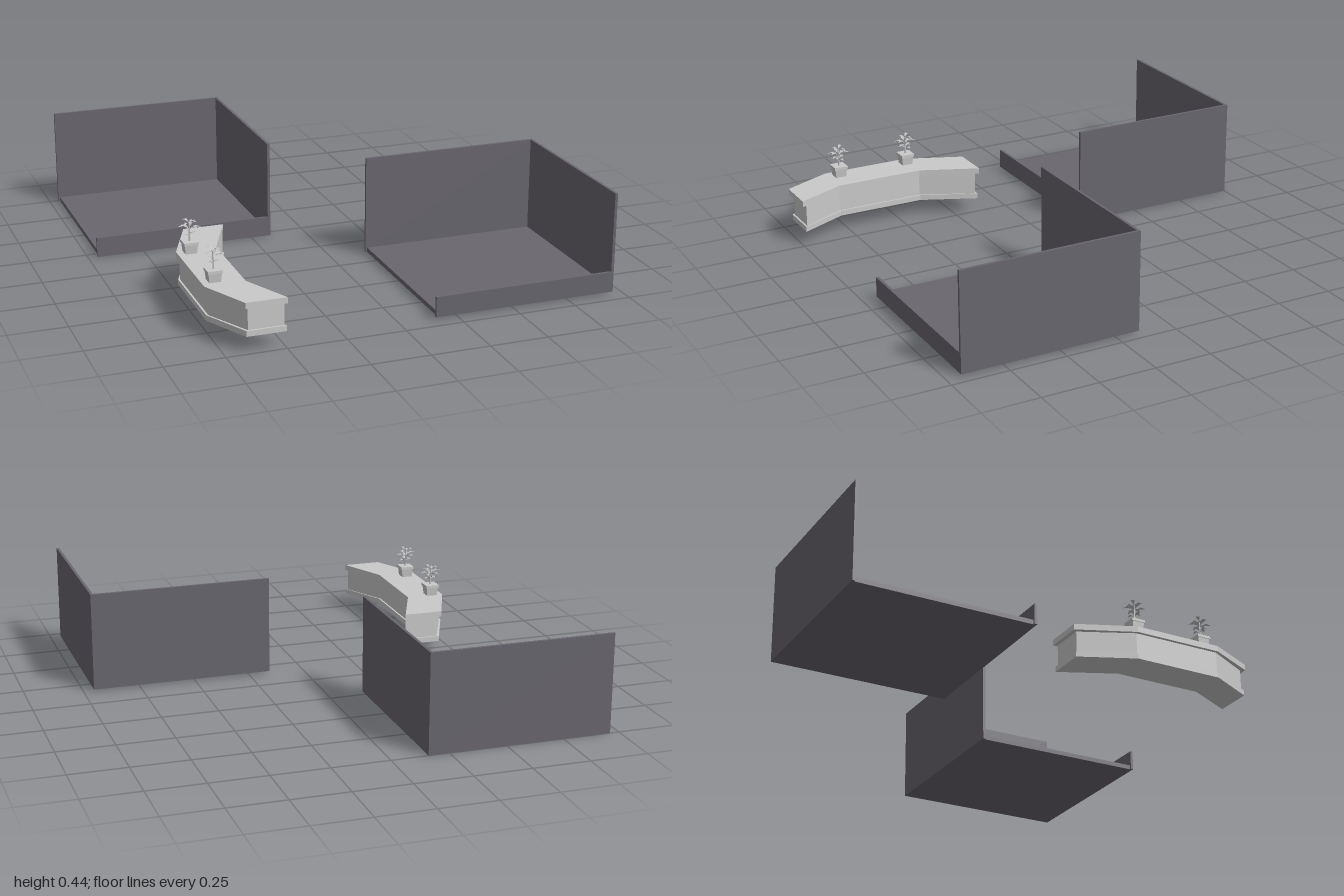
import * as THREE from 'three';

const wallMat = new THREE.MeshStandardMaterial({ name: 'slateGrey', color: 0x69666f });
const deskMat = new THREE.MeshStandardMaterial({ name: 'lightGrey', color: 0xc9c9c9 });
const leafMat = new THREE.MeshStandardMaterial({ name: 'leafGrey', color: 0xc0c0c0, side: THREE.DoubleSide, flatShading: true });

// Box given by its minimum and maximum corners
function slab(name, min, max, mat) {
  const size = max.map((v, i) => v - min[i]);
  const mesh = new THREE.Mesh(new THREE.BoxGeometry(...size), mat);
  mesh.position.set(...max.map((v, i) => (v + min[i]) / 2));
  mesh.name = name;
  return mesh;
}

// Open room: floor, tall back and side walls, low front wall, open at -x
function createRoom(name, x, y, z) {
  const g = new THREE.Group();
  g.name = name;
  const w = 0.8, d = 0.79, h = 0.433, t = 0.012;
  g.add(
    slab('floor', [0.008, 0, t], [w - t, 0.02, d - t], wallMat),
    slab('backWall', [0, 0, 0], [w - t, h, t], wallMat),
    slab('sideWall', [w - t, 0, 0], [w, h, d], wallMat),
    slab('frontLip', [0, 0, d - t], [w - t, 0.088, d], wallMat),
  );
  g.position.set(x, y, z);
  return g;
}

// Bent counter layer, drawn in plan and extruded upwards
function counterLayer(name, y0, y1, outer, inner, end) {
  const plan = [
    [-0.665 + outer, 0.137 + end], [-0.768 + outer, 0.385],
    [-0.768 + outer, 0.785], [-0.668 + outer, 0.998 - end],
    [-0.497 - inner, 0.998 - end], [-0.597 - inner, 0.782],
    [-0.597 - inner, 0.388], [-0.49 - inner, 0.137 + end],
  ];
  const shape = new THREE.Shape(plan.map(([x, z]) => new THREE.Vector2(x, -z)));
  const geo = new THREE.ExtrudeGeometry(shape, { depth: y1 - y0, bevelEnabled: false });
  geo.rotateX(-Math.PI / 2);
  const mesh = new THREE.Mesh(geo, deskMat);
  mesh.position.y = y0;
  mesh.name = name;
  return mesh;
}

// Folded diamond leaf running from the stem along +x
function leafGeometry(length, width, rise) {
  const root = [0, 0, 0], tip = [length, rise * 0.5, 0];
  const a = [length * 0.55, rise, width / 2], b = [length * 0.55, rise, -width / 2];
  const mid = [length * 0.55, rise * 0.7, 0];
  const geo = new THREE.BufferGeometry();
  const faces = [root, a, mid, mid, a, tip, root, mid, b, mid, tip, b];
  geo.setAttribute('position', new THREE.Float32BufferAttribute(faces.flat(), 3));
  geo.computeVertexNormals();
  return geo;
}

// Square tapered pot with a stem and tiers of leaves
function createPlant(name, x, z) {
  const g = new THREE.Group();
  g.name = name;
  const square = (part, top, bottom, h, y) => {
    const geo = new THREE.CylinderGeometry(top * Math.SQRT1_2, bottom * Math.SQRT1_2, h, 4).toNonIndexed();
    geo.rotateY(Math.PI / 4);
    geo.computeVertexNormals();
    const mesh = new THREE.Mesh(geo, deskMat);
    mesh.position.y = y + h / 2;
    mesh.name = part;
    g.add(mesh);
  };
  square('pot', 0.056, 0.048, 0.04, 0);
  square('potRim', 0.062, 0.062, 0.012, 0.038);

  const stem = new THREE.Mesh(new THREE.CylinderGeometry(0.003, 0.004, 0.08, 5), leafMat);
  stem.position.y = 0.085;
  stem.name = 'stem';
  g.add(stem);

  const tiers = [[0.075, 0.036, 4, 0.3], [0.1, 0.05, 6, 0], [0.122, 0.036, 4, 0.7]];
  for (const [y, length, count, turn] of tiers) {
    const geo = leafGeometry(length, 0.018, 0.012);
    for (let i = 0; i < count; i++) {
      const leaf = new THREE.Mesh(geo, leafMat);
      leaf.position.y = y + (i % 2) * 0.008;
      leaf.rotation.y = turn + (i / count) * Math.PI * 2;
      leaf.name = 'leaf';
      g.add(leaf);
    }
  }
  g.position.set(x, 0.214, z);
  return g;
}

export function createModel() {
  const model = new THREE.Group();
  model.name = 'officeSet';

  model.add(createRoom('backRoom', -0.96, 0, -1));
  model.add(createRoom('frontRoom', 0.156, 0.009, 0.148));

  const desk = new THREE.Group();
  desk.name = 'receptionDesk';
  desk.add(
    counterLayer('deskBase', 0.068, 0.092, 0.006, 0, 0.01),
    counterLayer('deskBody', 0.092, 0.188, 0.014, 0.008, 0.018),
    counterLayer('deskTop', 0.188, 0.214, 0, 0, 0),
    createPlant('rearPlant', -0.715, 0.405),
    createPlant('frontPlant', -0.715, 0.735),
  );
  model.add(desk);
  return model;
}
